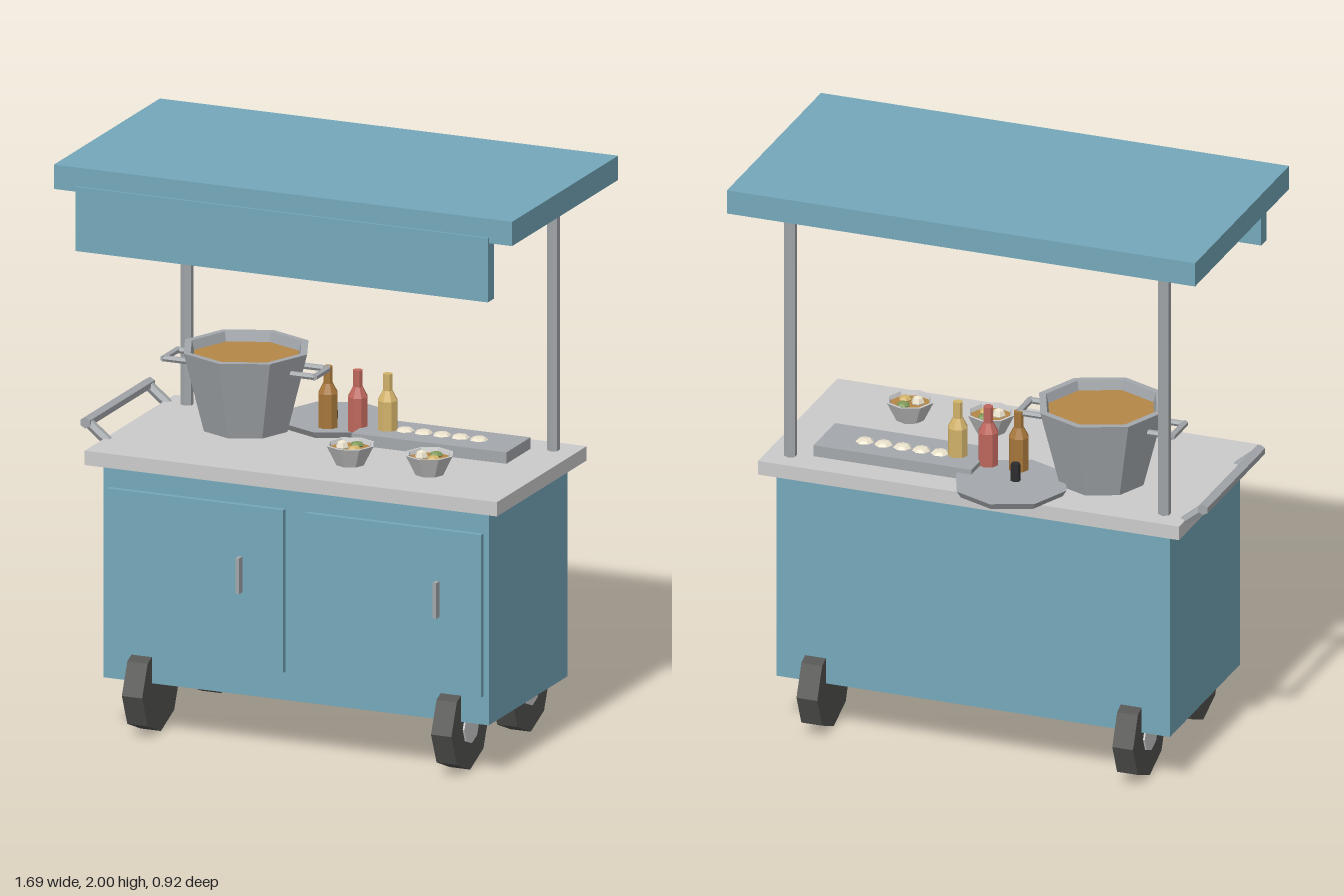
import * as THREE from 'three';

const mat = (color) => new THREE.MeshStandardMaterial({ color, flatShading: true, side: THREE.DoubleSide });
const M = {
  grey: mat(0xcccccc), metal: mat(0xa4a8ac), teal: mat(0x74a8ba), tyre: mat(0x545452), black: mat(0x2e2e30),
  soup: mat(0xb58748), brown: mat(0xa8783c), red: mat(0xc0685e), yellow: mat(0xd4b46c),
  cream: mat(0xeae2cc), green: mat(0x7f9a58),
};

export function createModel() {
  const cart = new THREE.Group();
  cart.name = 'foodCart';

  const add = (name, geometry, material, x = 0, y = 0, z = 0, parent = cart) => {
    const mesh = new THREE.Mesh(geometry, material);
    mesh.name = name;
    mesh.position.set(x, y, z);
    parent.add(mesh);
    return mesh;
  };
  // Box given by its limits on each axis
  const box = (name, material, x0, x1, y0, y1, z0, z1) =>
    add(name, new THREE.BoxGeometry(x1 - x0, y1 - y0, z1 - z0), material, (x0 + x1) / 2, (y0 + y1) / 2, (z0 + z1) / 2);
  const lathe = (points, sides = 8) => new THREE.LatheGeometry(points.map(([r, y]) => new THREE.Vector2(r, y)), sides);
  // Straight bar between two points
  const bar = (name, a, b, radius, material, parent = cart) => {
    const from = new THREE.Vector3(...a), to = new THREE.Vector3(...b);
    const dir = to.clone().sub(from);
    const mesh = add(name, new THREE.CylinderGeometry(radius, radius, dir.length(), 6), material, 0, 0, 0, parent);
    mesh.position.copy(from).add(to).multiplyScalar(0.5);
    mesh.quaternion.setFromUnitVectors(new THREE.Vector3(0, 1, 0), dir.normalize());
    return mesh;
  };

  // Cabinet, counter, roof and front board
  box('cabinet', M.teal, -0.71, 0.71, 0.19, 0.94, -0.31, 0.34);
  box('counter', M.grey, -0.76, 0.76, 0.94, 0.99, -0.355, 0.385);
  box('roof', M.teal, -0.845, 0.845, 1.915, 2, -0.425, 0.45);
  box('signBoard', M.teal, -0.76, 0.76, 1.71, 1.935, 0.41, 0.46);

  // Doors with upright pulls
  for (const [x0, pull] of [[-0.69, -0.197], [0.04, 0.53]]) {
    box('door', M.teal, x0, x0 + 0.65, 0.29, 0.86, 0.335, 0.36);
    box('doorHandle', M.metal, pull - 0.007, pull + 0.007, 0.555, 0.68, 0.355, 0.387);
  }

  // Roof posts and wheels, mirrored left and right
  for (const side of [-1, 1]) {
    bar('post', [side * 0.675, 0.98, -0.27], [side * 0.675, 1.92, -0.27], 0.022, M.metal);
    for (const z of [0.265, -0.235]) {
      const wheel = new THREE.Group();
      wheel.name = 'wheel';
      wheel.position.set(side * 0.57, 0.158, z);
      add('tyre', new THREE.CylinderGeometry(0.155, 0.155, 0.075, 8), M.tyre, 0, 0, 0, wheel).rotation.z = Math.PI / 2;
      add('hub', new THREE.CylinderGeometry(0.062, 0.062, 0.04, 8), M.grey, side * 0.024, 0, 0, wheel).rotation.z = Math.PI / 2;
      cart.add(wheel);
    }
  }

  // Push handle on the right end
  const pushHandle = new THREE.Group();
  pushHandle.name = 'pushHandle';
  cart.add(pushHandle);
  bar('grip', [-0.825, 1.04, -0.3], [-0.825, 1.04, 0.235], 0.02, M.metal, pushHandle);
  for (const z of [-0.28, 0.215]) bar('gripArm', [-0.745, 0.975, z], [-0.825, 1.04, z], 0.018, M.metal, pushHandle);

  // Open pot with soup and two side handles
  const pot = new THREE.Group();
  pot.name = 'pot';
  pot.position.set(-0.375, 0.995, -0.085);
  cart.add(pot);
  add('potWall', lathe([[0, 0], [0.152, 0], [0.225, 0.28], [0.2, 0.28], [0.188, 0.235]]), M.metal, 0, 0, 0, pot);
  add('soup', new THREE.CylinderGeometry(0.192, 0.19, 0.01, 8), M.soup, 0, 0.242, 0, pot);
  for (const side of [-1, 1]) {
    const xi = side * 0.19, xo = side * 0.278;
    bar('potHandle', [xo, 0.222, -0.062], [xo, 0.222, 0.062], 0.012, M.metal, pot);
    for (const z of [-0.055, 0.055]) bar('potHandleArm', [xi, 0.222, z], [xo, 0.222, z], 0.011, M.metal, pot);
  }

  // Round plate with a small shaker
  add('plate', new THREE.CylinderGeometry(0.2, 0.185, 0.024, 8), M.metal, -0.117, 1.001, -0.26);
  add('shaker', new THREE.CylinderGeometry(0.016, 0.018, 0.065, 6), M.black, -0.125, 1.043, -0.24);

  // Sauce bottles
  const bottle = lathe([[0, 0], [0.035, 0], [0.035, 0.12], [0.017, 0.155], [0.017, 0.213], [0, 0.213]]);
  [[-0.1, M.brown], [0.01, M.red], [0.12, M.yellow]].forEach(([x, m]) => add('bottle', bottle, m, x, 1.012, -0.145));

  // Serving board with a row of dumplings
  box('servingBoard', M.metal, 0.03, 0.6, 0.99, 1.03, -0.25, -0.05);
  for (let i = 0; i < 5; i++) {
    const dumpling = add('dumpling', new THREE.SphereGeometry(0.032, 7, 4), M.cream, 0.18 + i * 0.068, 1.03, -0.155);
    dumpling.scale.set(1, 0.35, 1);
  }

  // Filled bowls
  for (const x of [0.12, 0.412]) {
    const bowl = new THREE.Group();
    bowl.name = 'bowl';
    bowl.position.set(x, 0.99, 0.163);
    cart.add(bowl);
    add('bowlWall', lathe([[0, 0], [0.05, 0], [0.085, 0.07], [0.075, 0.07], [0.068, 0.05]]), M.grey, 0, 0, 0, bowl);
    add('broth', new THREE.CylinderGeometry(0.07, 0.068, 0.006, 8), M.soup, 0, 0.053, 0, bowl);
    [[-0.025, 0.01, M.cream], [0.025, 0.02, M.yellow], [0.012, -0.03, M.green]].forEach(([dx, dz, m], i) => {
      const piece = add('topping', new THREE.SphereGeometry(0.024, 6, 4), m, dx, 0.06, dz, bowl);
      piece.scale.y = i === 0 ? 1 : 0.5;
    });
  }
  return cart;
}
